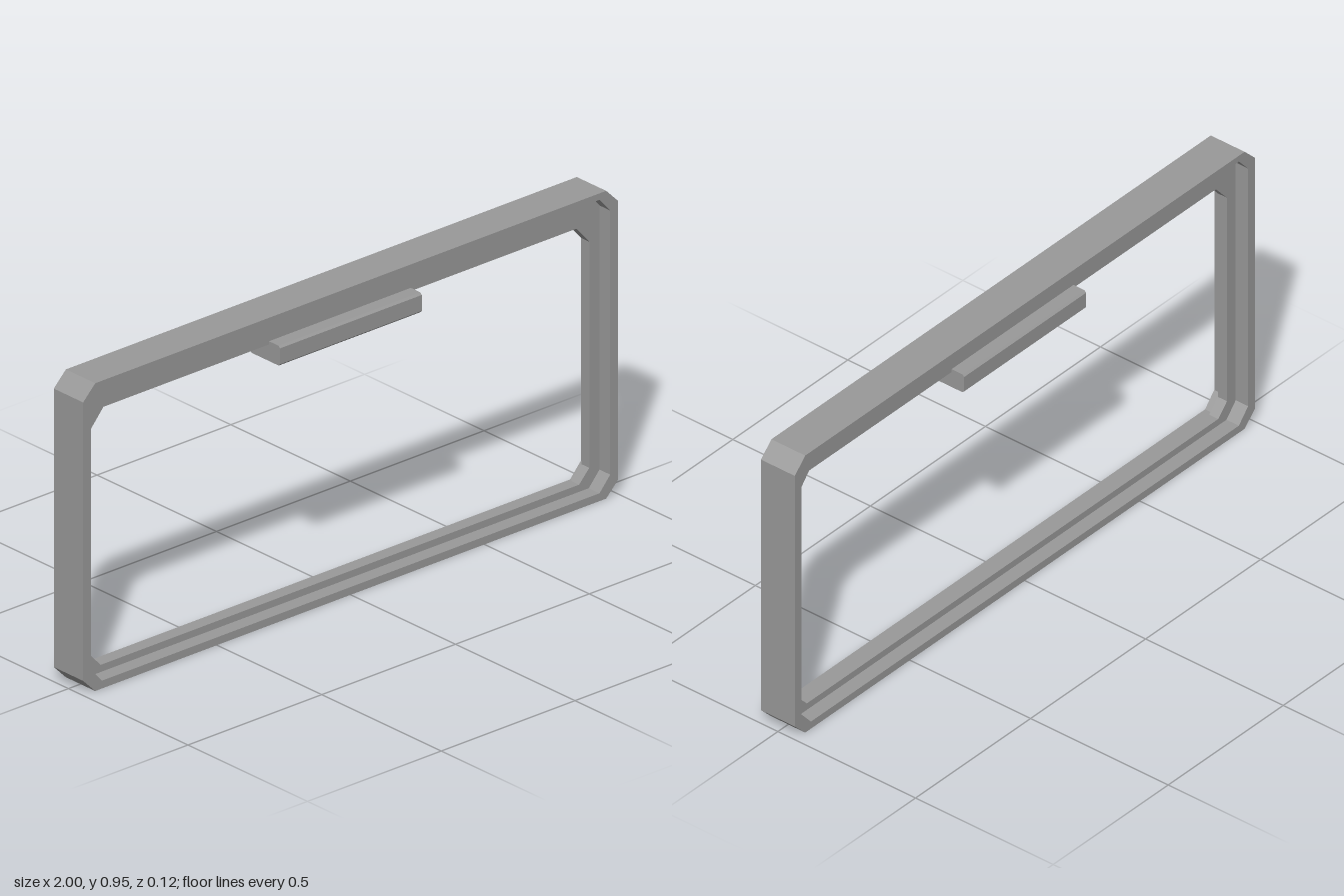
import * as THREE from 'three';

const HALF_DEPTH = 0.0615; // half thickness of the outer rim
const WEB = 0.0165;        // half thickness of the recessed web

// Rectangle with cut corners; separate cuts for the top and bottom corners
function octagon(Type, halfWidth, y0, y1, [tx, ty], [bx, by]) {
  const points = [
    [halfWidth, y0 + by], [halfWidth, y1 - ty], [halfWidth - tx, y1], [tx - halfWidth, y1],
    [-halfWidth, y1 - ty], [-halfWidth, y0 + by], [bx - halfWidth, y0], [halfWidth - bx, y0],
  ];
  return new Type(points.map(([x, y]) => new THREE.Vector2(x, y)));
}

// Extrude a shape to a slab centred on z = 0
function slab(shape, depth) {
  return new THREE.ExtrudeGeometry(shape, { depth, bevelEnabled: false }).translate(0, 0, -depth / 2);
}

export function createModel() {
  const model = new THREE.Group();
  model.name = 'rectangularFrame';
  const grey = new THREE.MeshStandardMaterial({ color: 0x999999 });
  grey.name = 'grey';

  function add(name, geometry) {
    const mesh = new THREE.Mesh(geometry, grey);
    mesh.name = name;
    model.add(mesh);
  }

  // Outer rim
  const rim = octagon(THREE.Shape, 1, 0, 0.946, [0.045, 0.045], [0.045, 0.045]);
  rim.holes.push(octagon(THREE.Path, 0.97, 0.024, 0.926, [0.04, 0.045], [0.04, 0.045]));
  add('outerRim', slab(rim, HALF_DEPTH * 2));

  // Thin web set back from both faces, deeper along the top
  const web = octagon(THREE.Shape, 0.975, 0.019, 0.931, [0.04, 0.045], [0.04, 0.045]);
  web.holes.push(octagon(THREE.Path, 0.932, 0.046, 0.836, [0.048, 0.055], [0.038, 0.04]));
  add('innerWeb', slab(web, WEB * 2));

  // Grip bar: U-shaped section clipped over the lower edge of the top web
  const d = 0.0625, c = 0.006, low = 0.785, high = 0.846, seat = 0.836;
  const half = [[d - c, low], [d, low + c], [d, high - c], [d - c, high], [WEB, high], [WEB, seat]];
  const section = [...half, ...half.map(([z, y]) => [-z, y]).reverse()];
  const grip = new THREE.Shape(section.map(([z, y]) => new THREE.Vector2(z, y)));
  add('gripBar', slab(grip, 0.53).rotateY(Math.PI / 2));

  return model;
}
